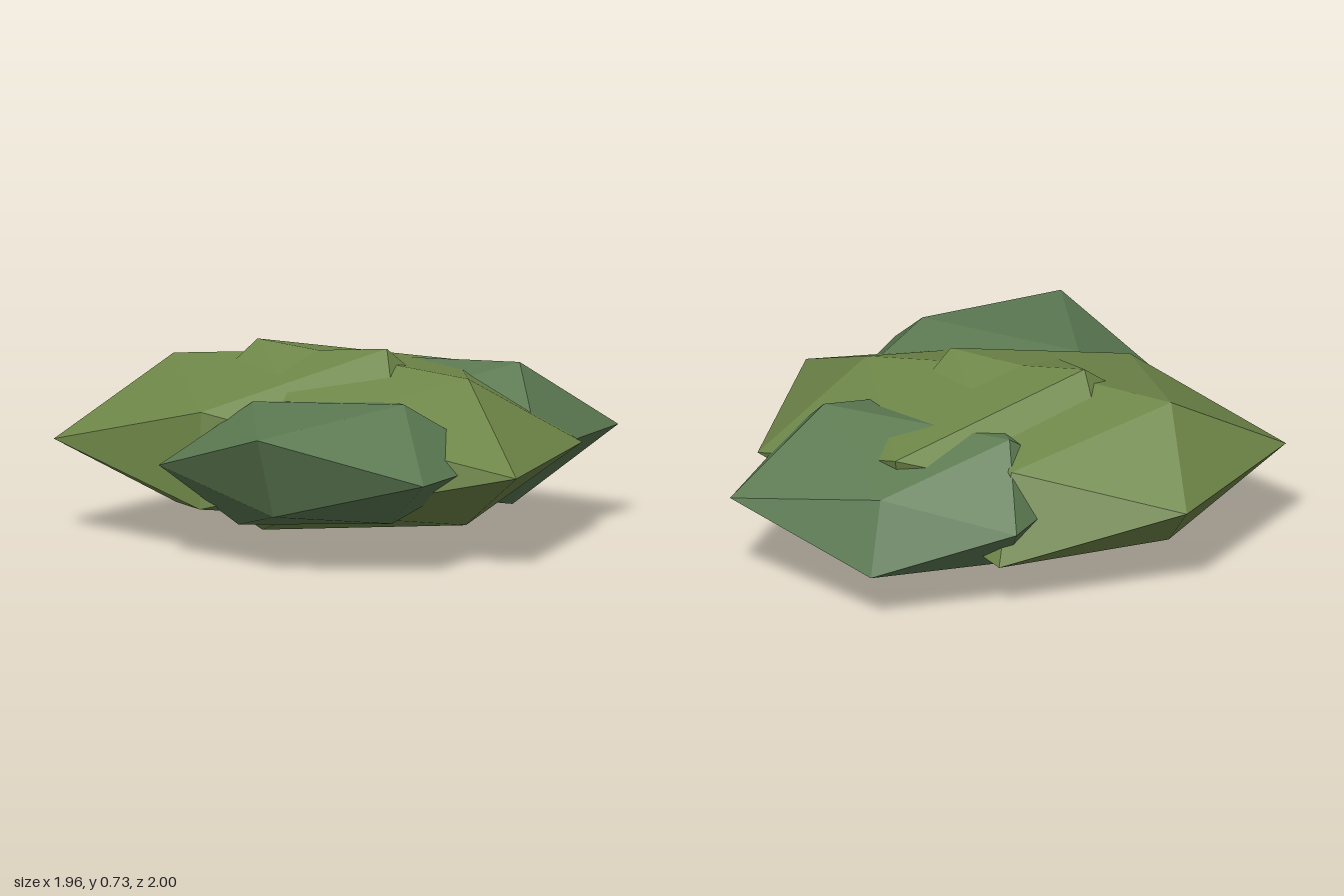
import * as THREE from 'three';

// Faces of a twenty-sided clump; corner order is listed in clump()
const FACES = [
  0, 11, 5, 0, 5, 1, 0, 1, 7, 0, 7, 10, 0, 10, 11,
  1, 5, 9, 5, 11, 4, 11, 10, 2, 10, 7, 6, 7, 1, 8,
  3, 9, 4, 3, 4, 2, 3, 2, 6, 3, 6, 8, 3, 8, 9,
  4, 9, 5, 2, 4, 11, 6, 2, 10, 8, 6, 7, 9, 8, 1,
];

// A squashed, irregular icosahedron; left/right here mean -x/+x
function clump(name, material, { top, bottom, front, back, right, left }) {
  const corners = [
    ...top,    // -x, +x
    ...bottom, // -x, +x
    ...front,  // low, high
    ...back,   // low, high
    ...right,  // back, front
    ...left,   // back, front
  ];
  const indexed = new THREE.BufferGeometry();
  indexed.setAttribute('position', new THREE.Float32BufferAttribute(corners.flat(), 3));
  indexed.setIndex(FACES);
  const geometry = indexed.toNonIndexed();
  geometry.computeVertexNormals();
  const mesh = new THREE.Mesh(geometry, material);
  mesh.name = name;
  return mesh;
}

export function createModel() {
  const olive = new THREE.MeshStandardMaterial({ color: 0x6f8749, flatShading: true });
  olive.name = 'olive leaf green';
  const moss = new THREE.MeshStandardMaterial({ color: 0x5c7a52, flatShading: true });
  moss.name = 'moss leaf green';

  const bush = new THREE.Group();
  bush.name = 'bush';

  // Two large clumps side by side
  bush.add(clump('largeClumpA', olive, {
    top: [[-0.67, 0.65, -0.03], [0.22, 0.73, -0.03]],
    bottom: [[-0.66, 0.08, -0.03], [0.2, 0.08, -0.03]],
    front: [[-0.28, 0.17, 0.56], [-0.28, 0.54, 0.55]],
    back: [[-0.24, 0.19, -0.72], [-0.24, 0.53, -0.59]],
    right: [[0.47, 0.36, -0.4], [0.47, 0.36, 0.37]],
    left: [[-0.86, 0.36, -0.36], [-0.98, 0.36, 0.37]],
  }));
  bush.add(clump('largeClumpB', olive, {
    top: [[-0.32, 0.73, -0.03], [0.56, 0.64, -0.03]],
    bottom: [[-0.3, 0, -0.03], [0.55, 0.08, -0.03]],
    front: [[0.14, 0.18, 0.55], [0.14, 0.52, 0.52]],
    back: [[0.17, 0.19, -0.62], [0.17, 0.575, -0.745]],
    right: [[0.85, 0.36, -0.42], [0.98, 0.36, 0.43]],
    left: [[-0.6, 0.36, -0.4], [-0.6, 0.36, 0.37]],
  }));

  // Smaller clumps in front and behind
  bush.add(clump('frontClump', moss, {
    top: [[-0.12, 0.575, 0.43], [0.51, 0.61, 0.43]],
    bottom: [[-0.18, 0.1, 0.43], [0.46, 0.15, 0.43]],
    front: [[0.17, 0.22, 0.86], [0.17, 0.535, 1]],
    back: [[0.17, 0.2, -0.1], [0.17, 0.52, -0.1]],
    right: [[0.76, 0.36, 0.1], [0.74, 0.36, 0.74]],
    left: [[-0.36, 0.36, 0.1], [-0.37, 0.36, 0.73]],
  }));
  bush.add(clump('backClump', moss, {
    top: [[-0.19, 0.61, -0.48], [0.56, 0.635, -0.48]],
    bottom: [[-0.18, 0.1, -0.48], [0.53, 0.09, -0.48]],
    front: [[0.17, 0.2, 0.08], [0.17, 0.52, 0.08]],
    back: [[0.17, 0.2, -1], [0.17, 0.48, -0.9]],
    right: [[0.8, 0.36, -0.84], [0.8, 0.36, -0.15]],
    left: [[-0.33, 0.36, -0.77], [-0.4, 0.36, -0.18]],
  }));

  return bush;
}
